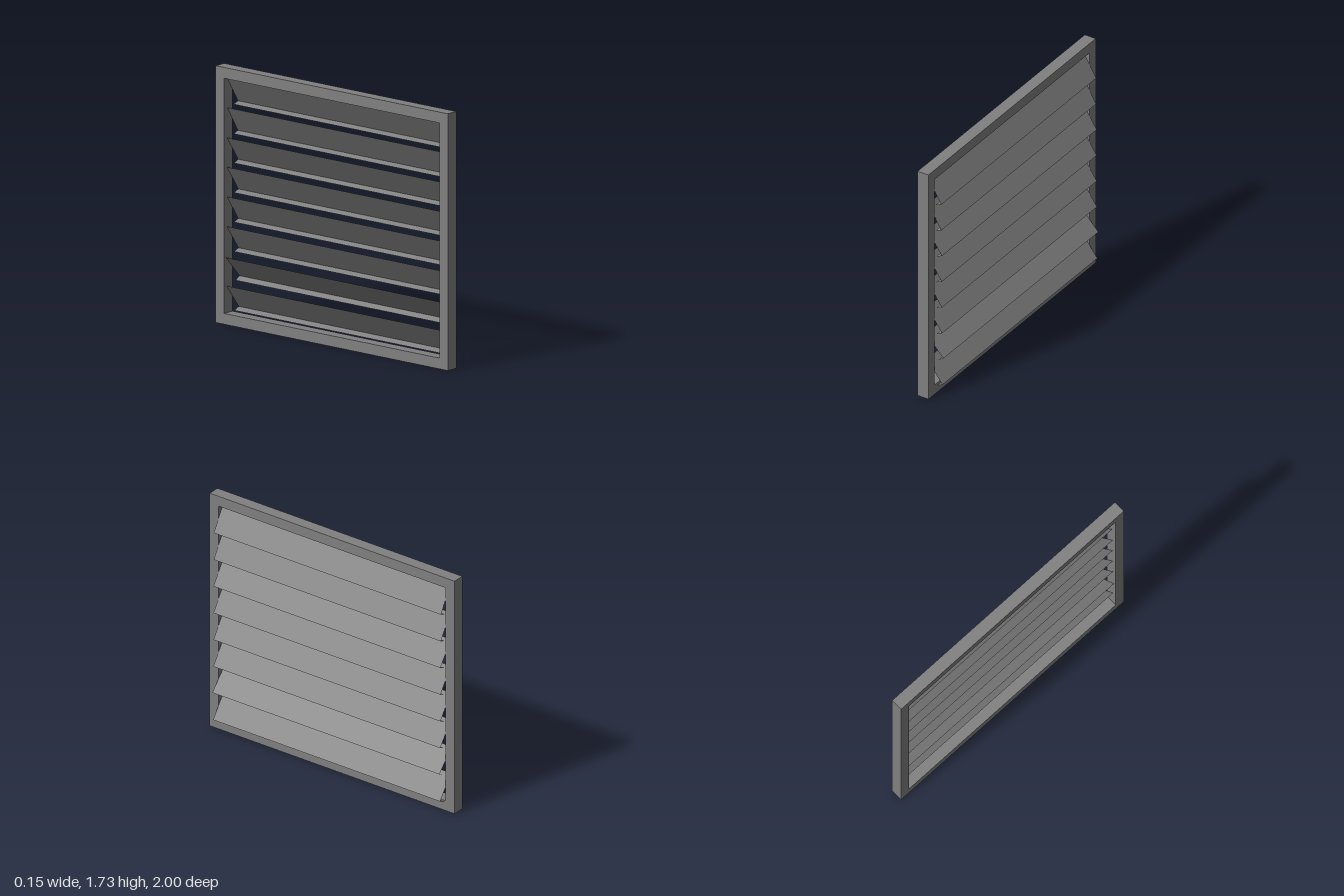
import * as THREE from 'three';

const material = new THREE.MeshStandardMaterial({ color: 0x808080, flatShading: true });
const sheetMaterial = material.clone();
sheetMaterial.side = THREE.DoubleSide;

// Rectangle outline, usable as a shape or a hole
function rectangle(Type, halfWidth, bottom, top) {
  const r = new Type();
  r.moveTo(-halfWidth, bottom);
  r.lineTo(halfWidth, bottom);
  r.lineTo(halfWidth, top);
  r.lineTo(-halfWidth, top);
  r.closePath();
  return r;
}

export function createModel() {
  const model = new THREE.Group();
  model.name = 'louverWindow';

  // Surrounding frame, standing in the y-z plane
  const height = 1.725, border = 0.073, depth = 0.085, backX = -0.077;
  const outline = rectangle(THREE.Shape, 1, 0, height);
  outline.holes.push(rectangle(THREE.Path, 1 - border, border, height - border));
  const frameGeometry = new THREE.ExtrudeGeometry(outline, { depth, bevelEnabled: false });
  frameGeometry.rotateY(Math.PI / 2);
  frameGeometry.translate(backX, 0, 0);
  const frame = new THREE.Mesh(frameGeometry, material);
  frame.name = 'frame';
  model.add(frame);

  // Slat: thin folded sheet, a tall face with a lip turned back along its lower edge
  const length = 2 * (1 - border), faceHeight = 0.2, lipDepth = 0.046;
  const faceGeometry = new THREE.PlaneGeometry(length, faceHeight);
  faceGeometry.rotateY(Math.PI / 2);
  const lipGeometry = new THREE.PlaneGeometry(lipDepth, length);
  lipGeometry.rotateX(Math.PI / 2);
  lipGeometry.translate(-lipDepth / 2, 0, 0);
  lipGeometry.rotateZ(THREE.MathUtils.degToRad(-11));
  lipGeometry.translate(0, -faceHeight / 2, 0);

  // Each slat tilts a little differently, top leaning back
  const tilts = [31.2, 31, 34, 33.4, 33.9, 34.9, 42.7, 36.9];
  tilts.forEach((tilt, i) => {
    const slat = new THREE.Group();
    slat.name = `slat${i + 1}`;
    const face = new THREE.Mesh(faceGeometry, sheetMaterial);
    face.name = 'slatFace';
    const lip = new THREE.Mesh(lipGeometry, sheetMaterial);
    lip.name = 'slatLip';
    slat.add(face, lip);
    slat.position.set(0.008, 1.5615 - 0.1983 * i, 0);
    slat.rotation.z = THREE.MathUtils.degToRad(tilt);
    model.add(slat);
  });

  return model;
}
